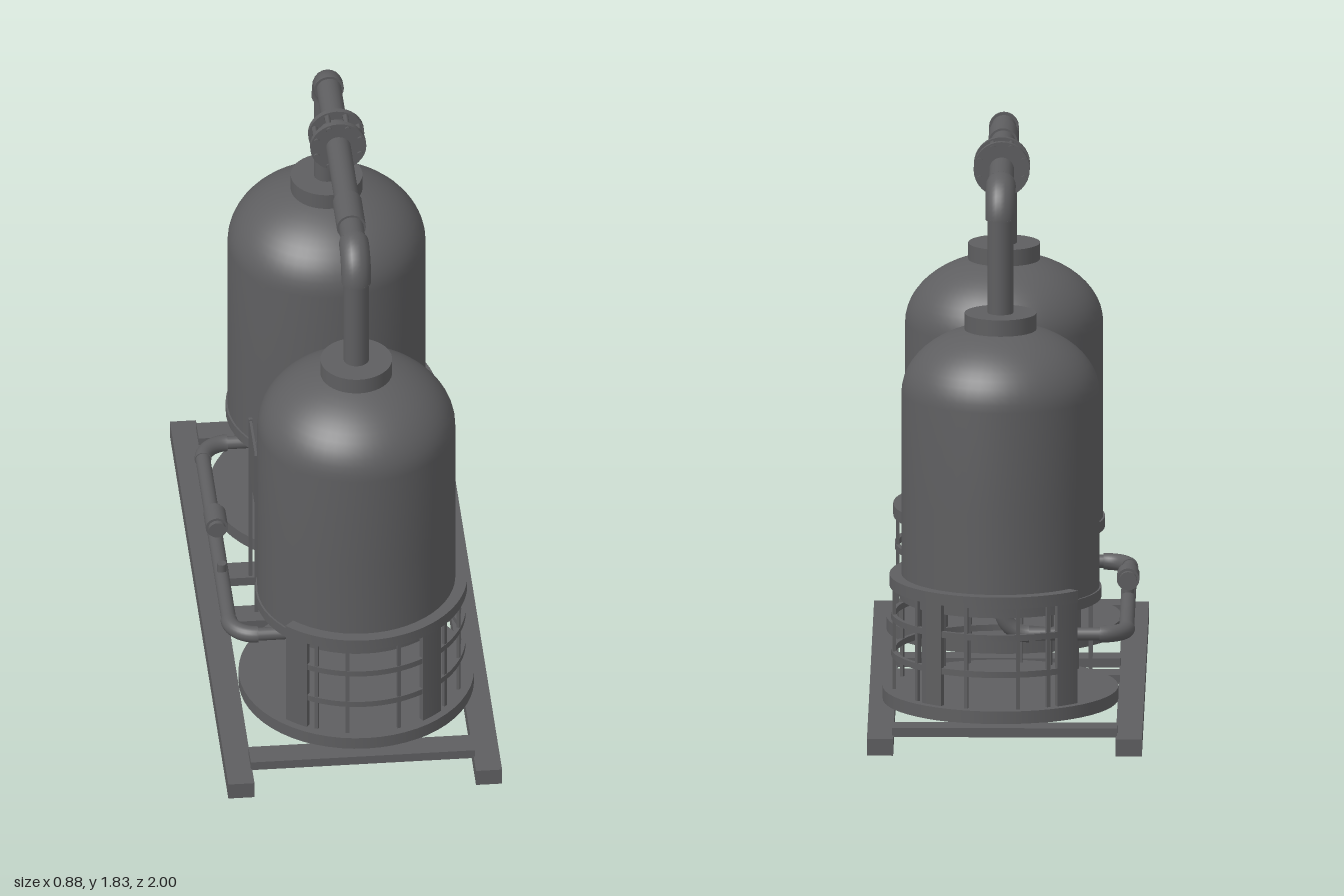
import * as THREE from 'three';
import { toCreasedNormals } from 'three/addons/utils/BufferGeometryUtils.js';

const RAD = Math.PI / 180;
const V = (x, y, z) => new THREE.Vector3(x, y, z);
const CX = 0.018; // common centre line of the tanks

export function createModel() {
  const steel = new THREE.MeshStandardMaterial({ color: 0x5e5e60 });
  steel.name = 'dark grey steel';

  const add = (parent, name, geometry, x = 0, y = 0, z = 0) => {
    const mesh = new THREE.Mesh(geometry, steel);
    mesh.name = name;
    mesh.position.set(x, y, z);
    parent.add(mesh);
    return mesh;
  };
  const group = (parent, name) => {
    const g = new THREE.Group();
    g.name = name;
    parent.add(g);
    return g;
  };
  const box = (parent, name, x0, x1, y0, y1, z0, z1) =>
    add(parent, name, new THREE.BoxGeometry(x1 - x0, y1 - y0, z1 - z0),
      (x0 + x1) / 2, (y0 + y1) / 2, (z0 + z1) / 2);
  // Straight round bar between two points
  const rod = (parent, name, a, b, r, sides = 20) => {
    const mesh = add(parent, name, new THREE.CylinderGeometry(r, r, a.distanceTo(b), sides));
    mesh.position.copy(a).add(b).multiplyScalar(0.5);
    mesh.quaternion.setFromUnitVectors(V(0, 1, 0), b.clone().sub(a).normalize());
    return mesh;
  };
  // Quarter bend from a to b around a corner
  const elbow = (parent, name, a, corner, b, r) => {
    const k = 0.552;
    const curve = new THREE.CubicBezierCurve3(a, a.clone().lerp(corner, k), b.clone().lerp(corner, k), b);
    add(parent, name, new THREE.TubeGeometry(curve, 12, r, 20));
    // closed ends of the fitting
    [[a, corner], [b, corner]].forEach(([p, c]) => {
      const inward = c.clone().sub(p).normalize().multiplyScalar(0.004);
      rod(parent, name + 'Collar', p, p.clone().add(inward), r);
    });
  };
  // Curved band: ring sector extruded upwards
  const band = (parent, name, rIn, rOut, y0, y1, from, to) => {
    const shape = new THREE.Shape();
    shape.absarc(0, 0, rOut, from * RAD, to * RAD, false);
    shape.absarc(0, 0, rIn, to * RAD, from * RAD, true);
    const geo = new THREE.ExtrudeGeometry(shape, {
      depth: y1 - y0, bevelEnabled: false, curveSegments: to - from > 90 ? 40 : 5,
    });
    geo.rotateX(-Math.PI / 2);
    return add(parent, name, toCreasedNormals(geo, 0.6), 0, y0, 0);
  };

  const model = new THREE.Group();
  model.name = 'twinTankSkid';

  // Skid frame
  const skid = group(model, 'skid');
  for (const s of [-1, 1]) add(skid, 'rail', new THREE.BoxGeometry(0.084, 0.055, 2), s * 0.398, 0.0275, 0);
  for (const z of [-0.907, -0.133, 0.105, 0.878]) box(skid, 'crossMember', -0.36, 0.36, 0.05, 0.08, z - 0.043, z + 0.043);

  // Tank with its caged stand, open towards -x
  const buildTank = (name, z) => {
    const unit = group(model, name);
    unit.position.set(CX, 0, z);

    add(unit, 'basePlate', new THREE.CylinderGeometry(0.377, 0.377, 0.042, 56), 0, 0.1, 0);

    const profile = [[0, 0.415], [0.323, 0.415], [0.323, 0.45], [0.317, 0.45], [0.317, 0.75]]
      .map(([r, y]) => new THREE.Vector2(r, y));
    for (let i = 0; i <= 14; i++) {
      const t = (i / 14) * Math.PI / 2;
      profile.push(new THREE.Vector2(Math.max(0, 0.317 * Math.cos(t)), 1.085 + 0.222 * Math.sin(t)));
    }
    add(unit, 'tankBody', toCreasedNormals(new THREE.LatheGeometry(profile, 56), 0.6));
    add(unit, 'neckCollar', new THREE.CylinderGeometry(0.115, 0.115, 0.07, 40), 0, 1.31, 0);

    const cage = group(unit, 'cage');
    band(cage, 'topRing', 0.316, 0.355, 0.452, 0.49, -135, 135);
    for (const y of [0.235, 0.355]) band(cage, 'hoop', 0.336, 0.35, y - 0.01, y + 0.01, -135, 135);
    for (const a of [45, 122, -58, -135]) band(cage, 'widePost', 0.334, 0.352, 0.115, 0.455, a, a + 13);
    for (const a of [-117, -100, -72, -40, -8, 23, 40, 72, 100, 117]) {
      const bar = add(cage, 'thinBar', new THREE.BoxGeometry(0.01, 0.345, 0.012),
        0.343 * Math.cos(a * RAD), 0.287, 0.343 * Math.sin(a * RAD));
      bar.rotation.y = -a * RAD;
    }
  };
  const ZF = 0.502, ZB = -0.515;
  buildTank('frontTank', ZF);
  buildTank('rearTank', ZB);

  // Upper connecting pipe
  const upper = group(model, 'upperPipe');
  const PY = 1.742;
  for (const [z, s] of [[ZF, -1], [ZB, 1]]) {
    rod(upper, 'riser', V(CX, 1.34, z), V(CX, 1.66, z), 0.041);
    elbow(upper, 'elbow', V(CX, 1.65, z), V(CX, PY, z), V(CX, PY, z + s * 0.085), 0.048);
  }
  rod(upper, 'crossPipe', V(CX, PY, ZF - 0.08), V(CX, PY, ZB + 0.08), 0.04);
  rod(upper, 'sleeve', V(CX, PY, 0.333), V(CX, PY, 0.194), 0.047);

  // Bolted flange pair
  const flange = group(upper, 'flange');
  for (const z of [-0.118, -0.188]) rod(flange, 'flangeDisc', V(CX, PY, z - 0.009), V(CX, PY, z + 0.009), 0.09, 32);
  rod(flange, 'flangeCore', V(CX, PY, -0.115), V(CX, PY, -0.19), 0.06, 24);
  for (let i = 0; i < 8; i++) {
    const a = (i + 0.5) * Math.PI / 4;
    const x = CX + 0.076 * Math.cos(a), y = PY + 0.076 * Math.sin(a);
    rod(flange, 'bolt', V(x, y, -0.103), V(x, y, -0.203), 0.01, 6);
  }

  // Lower connecting pipe
  const lower = group(model, 'lowerPipe');
  const LY = 0.295, LX = -0.385, R = 0.024, B = 0.085;
  for (const [z, s] of [[0.52, -1], [-0.535, 1]]) {
    rod(lower, 'outlet', V(0.012, 0.42, z), V(0.012, LY + B, z), R);
    elbow(lower, 'outletElbow', V(0.012, LY + B, z), V(0.012, LY, z), V(0.012 - B, LY, z), 0.027);
    rod(lower, 'branch', V(0.012 - B, LY, z), V(LX + B, LY, z), R - 0.003);
    elbow(lower, 'cornerElbow', V(LX + B, LY, z), V(LX, LY, z), V(LX, LY, z + s * B), 0.027);
  }
  rod(lower, 'mainRun', V(LX, LY, 0.52 - B), V(LX, LY, -0.535 + B), R);
  rod(lower, 'drainStub', V(LX, LY, 0.19), V(LX, 0.345, 0.19), 0.015, 12);

  // Meter on the lower pipe
  const meter = group(lower, 'meter');
  rod(meter, 'meterStem', V(LX, LY, -0.015), V(LX, 0.36, -0.015), 0.018);
  rod(meter, 'meterBody', V(LX, 0.366, 0.025), V(LX, 0.366, -0.055), 0.036, 24);
  rod(meter, 'meterEnds', V(LX, 0.366, 0.04), V(LX, 0.366, -0.072), 0.028, 24);

  // Control panel on two legs
  const panel = group(model, 'controlPanel');
  box(panel, 'panelPlate', -0.269, -0.261, 0.49, 0.69, -0.105, 0.095);
  for (const z of [-0.105, 0.095]) box(panel, 'panelLeg', -0.271, -0.259, 0.075, 0.695, z - 0.006, z + 0.006);

  return model;
}
